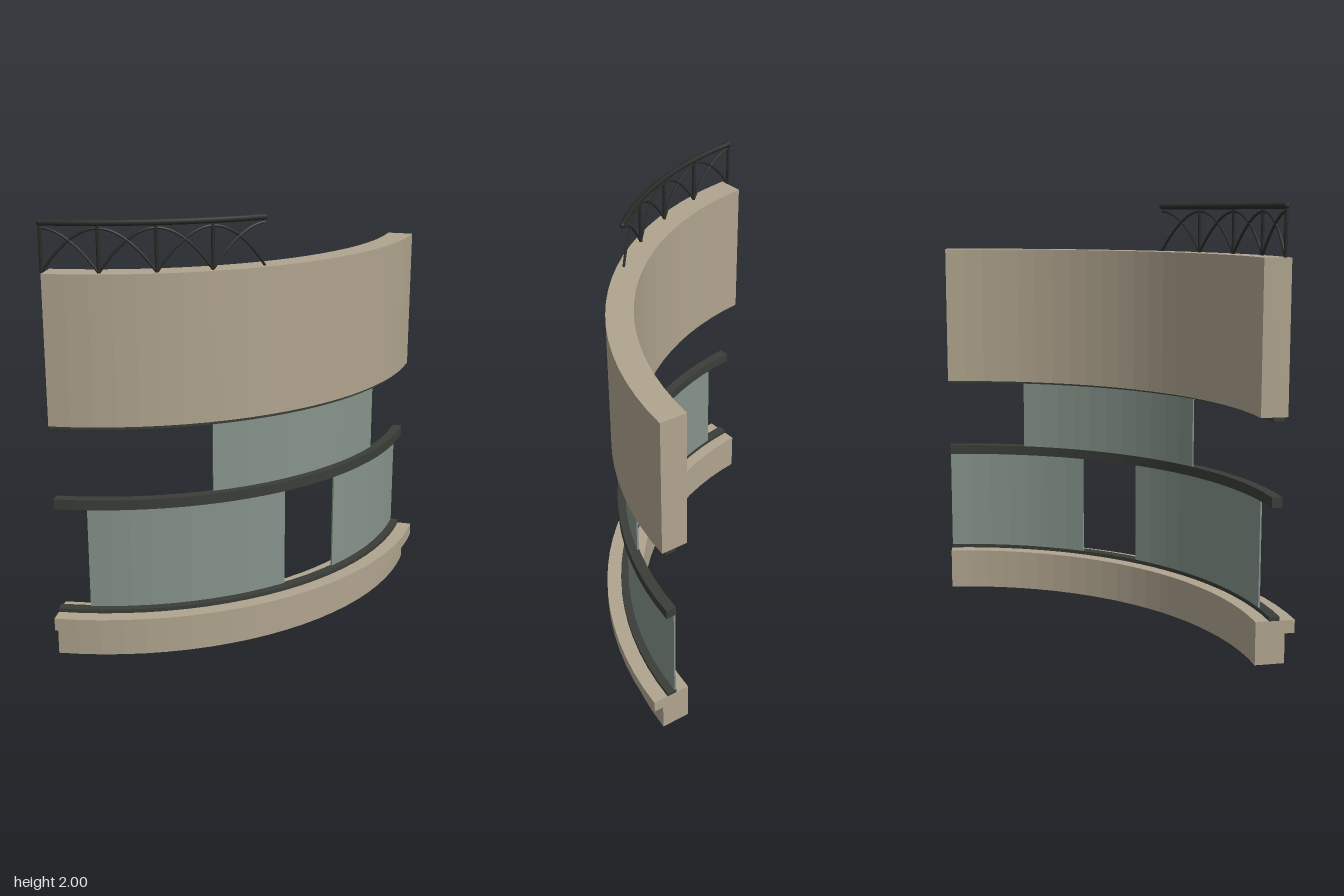
import * as THREE from 'three';

// Every part follows one circle in plan; angles in degrees are measured from +z towards +x
const CX = 0.46, CZ = -1.125;
const LEFT = -63.1, RIGHT = 18.7;
const rad = THREE.MathUtils.degToRad;

function onArc(r, deg, y) {
  return new THREE.Vector3(CX + r * Math.sin(rad(deg)), y, CZ + r * Math.cos(rad(deg)));
}

// Curved block between two radii, two heights and two angles
function arcBlock(rIn, rOut, y0, y1, a0 = LEFT, a1 = RIGHT) {
  const n = Math.max(4, Math.round((a1 - a0) / 3.7));
  const pts = [];
  const add = (r, t) => {
    const p = onArc(r, a0 + (a1 - a0) * t, 0);
    pts.push(new THREE.Vector2(p.x, -p.z));
  };
  for (let i = 0; i <= n; i++) add(rOut, i / n);
  for (let i = n; i >= 0; i--) add(rIn, i / n);
  const g = new THREE.ExtrudeGeometry(new THREE.Shape(pts), { depth: y1 - y0, bevelEnabled: false });
  g.rotateX(-Math.PI / 2);
  g.translate(0, y0, 0);
  return g;
}

export function createModel() {
  const model = new THREE.Group();
  model.name = 'curvedFacade';
  const material = (name, color) => {
    const m = new THREE.MeshStandardMaterial({ color });
    m.name = name;
    return m;
  };
  const stone = material('stone', 0xb0a48e);
  const glass = material('glass', 0x85938a);
  const trim = material('darkTrim', 0x3a3d38);
  const iron = material('iron', 0x292b27);

  const add = (name, geometry, mat, parent = model) => {
    const mesh = new THREE.Mesh(geometry, mat);
    mesh.name = name;
    parent.add(mesh);
    return mesh;
  };

  // Masonry
  add('basePlinth', arcBlock(1.42, 1.555, 0, 0.137), stone);
  add('baseLedge', arcBlock(1.42, 1.6, 0.137, 0.197), stone);
  add('upperWall', arcBlock(1.425, 1.547, 1.1, 1.775), stone);

  // Window frames running the whole length
  add('lowerSill', arcBlock(1.482, 1.53, 0.197, 0.215), trim);
  add('middleBand', arcBlock(1.482, 1.53, 0.705, 0.752), trim);
  add('upperHead', arcBlock(1.482, 1.53, 1.083, 1.1), trim);

  // Glazing
  add('lowerRightWindow', arcBlock(1.484, 1.492, 0.215, 0.705, -57.7, -21.2), glass);
  add('lowerLeftWindow', arcBlock(1.484, 1.492, 0.215, 0.705, -9.1, 18.6), glass);
  add('upperWindow', arcBlock(1.484, 1.492, 0.752, 1.083, -35.5, 3.5), glass);

  // Railing: handrail, posts and interlaced arches peaking at each post
  const railing = new THREE.Group();
  railing.name = 'railing';
  model.add(railing);
  const R = 1.515, A0 = -63.3, BAY = 9.28, BAYS = 4, FOOT = 1.775, PEAK = 1.965;
  const tube = (fn, steps, radius, sides) => {
    const pts = [];
    for (let i = 0; i <= steps; i++) pts.push(fn(i / steps));
    return new THREE.TubeGeometry(new THREE.CatmullRomCurve3(pts), steps * 2, radius, sides);
  };

  add('handrail', tube(t => onArc(R, A0 + BAY * BAYS * t, 1.987), 12, 0.013, 8), iron, railing);
  for (const a of [A0, A0 + BAY * BAYS]) {
    add('handrailEnd', new THREE.SphereGeometry(0.013, 8, 6), iron, railing)
      .position.copy(onArc(R, a, 1.987));
  }
  for (let i = 0; i < BAYS; i++) {
    const post = add('post', new THREE.CylinderGeometry(0.008, 0.008, 0.21, 8), iron, railing);
    post.position.copy(onArc(R, A0 + BAY * i, FOOT + 0.105));
  }
  for (let i = 0; i <= BAYS; i++) {
    for (const side of [-1, 1]) {
      if (i + side < 0 || i + side > BAYS) continue;
      const half = t => onArc(R, A0 + BAY * (i + side * t), FOOT + (PEAK - FOOT) * (1 - Math.pow(t, 1.9)));
      add('halfArch', tube(half, 8, 0.006, 6), iron, railing);
    }
  }
  return model;
}
